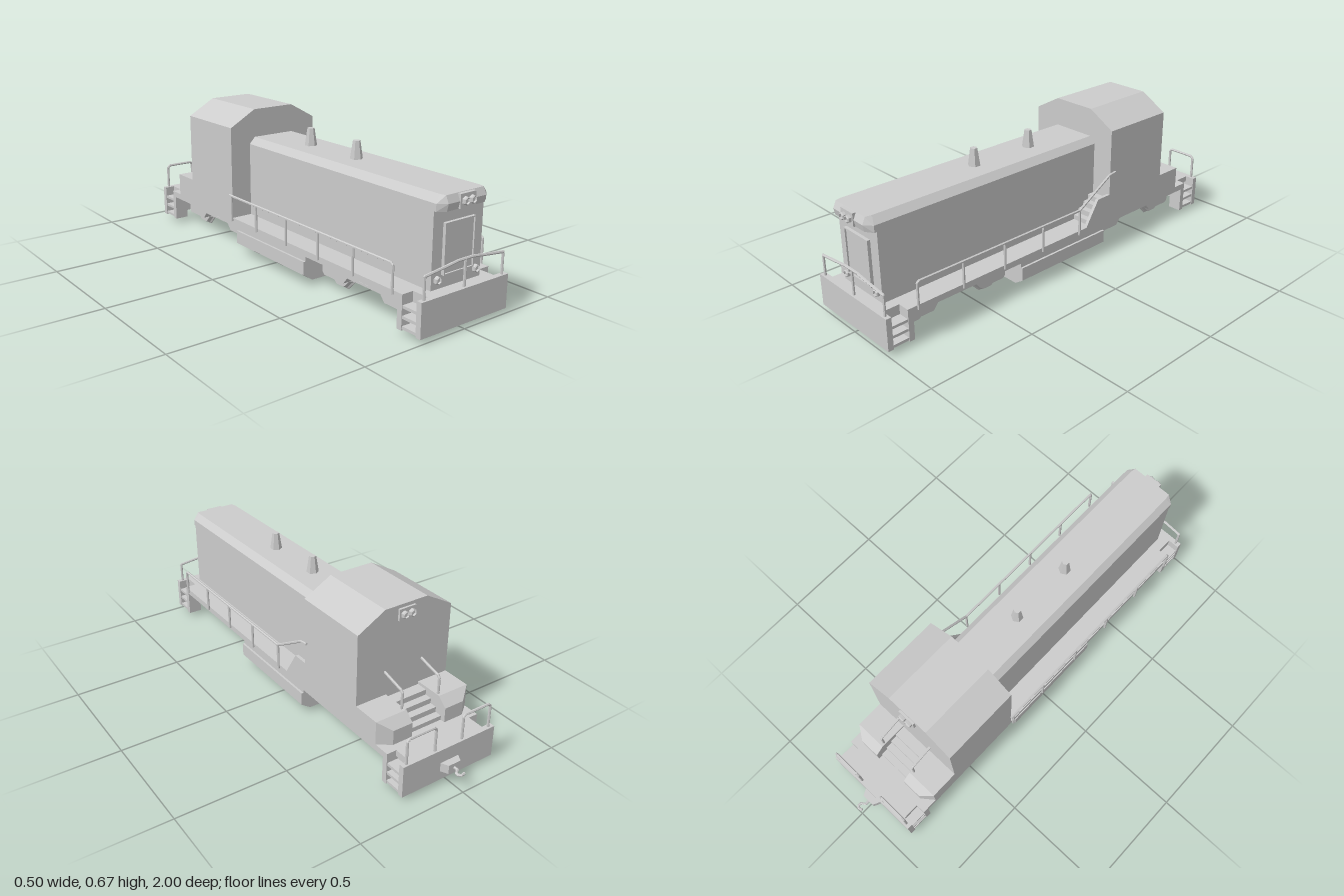
import * as THREE from 'three';
import { mergeGeometries } from 'three/addons/utils/BufferGeometryUtils.js';
import { ConvexGeometry } from 'three/addons/geometries/ConvexGeometry.js';

const grey = new THREE.MeshStandardMaterial({ color: 0xcccccc, flatShading: true });
const V = (x, y, z) => new THREE.Vector3(x, y, z);

export function createModel() {
  const model = new THREE.Group();

  const add = (name, geometry) => {
    const mesh = new THREE.Mesh(geometry, grey);
    mesh.name = name;
    model.add(mesh);
    return mesh;
  };

  // Box given by its limits on each axis
  const boxGeo = (x0, x1, y0, y1, z0, z1) =>
    new THREE.BoxGeometry(x1 - x0, y1 - y0, z1 - z0)
      .translate((x0 + x1) / 2, (y0 + y1) / 2, (z0 + z1) / 2);
  const box = (name, ...limits) => add(name, boxGeo(...limits));

  const shapeOf = pts => new THREE.Shape(pts.map(p => new THREE.Vector2(...p)));
  const extrude = (shape, depth) => new THREE.ExtrudeGeometry(shape, { depth, bevelEnabled: false });
  // Profile in (x, y), running along z
  const alongZ = (name, pts, z0, z1) => add(name, extrude(shapeOf(pts), z1 - z0).translate(0, 0, z0));
  // Profile in (z, y), running along x
  const alongX = (name, pts, x0, x1) =>
    add(name, extrude(shapeOf(pts), x1 - x0).rotateY(-Math.PI / 2).translate(x1, 0, 0));

  // Mirror a half outline of (x, y) points across x = 0
  const mirrored = pts => [...pts, ...pts.slice().reverse().map(([x, y]) => [-x, y])];

  // Bars along polylines, with small knuckles at the bends
  const rail = (name, paths, r = 0.006) => {
    const parts = [];
    for (const path of paths) {
      path.forEach((p, i) => {
        if (i === 0) return;
        const a = path[i - 1], d = p.clone().sub(a);
        const q = new THREE.Quaternion().setFromUnitVectors(V(0, 1, 0), d.clone().normalize());
        parts.push(new THREE.CylinderGeometry(r, r, d.length(), 6)
          .applyQuaternion(q).translate(...a.clone().add(p).multiplyScalar(0.5).toArray()));
        if (i < path.length - 1) parts.push(new THREE.SphereGeometry(r, 6, 4).translate(p.x, p.y, p.z));
      });
    }
    return add(name, mergeGeometries(parts));
  };

  // Six-sided lamp with a raised rim, facing along dir
  const lamp = (name, x, y, z, dir) => {
    const pts = [[0, 0.008], [0.012, 0.008], [0.013, 0.016], [0.017, 0.012], [0.017, 0]]
      .reverse().map(p => new THREE.Vector2(...p));
    add(name, new THREE.LatheGeometry(pts, 6).rotateY(Math.PI / 6)
      .rotateX(dir * Math.PI / 2).rotateZ(Math.PI / 2).translate(x, y, z))
      .material = new THREE.MeshStandardMaterial({ color: 0xcccccc, flatShading: true, side: THREE.DoubleSide });
  };

  // Deck, notched at the corners for the steps
  add('deck', extrude(shapeOf(mirrored([
    [0.18, 0.98], [0.18, 0.9], [0.235, 0.9], [0.235, -0.81], [0.19, -0.81], [0.19, -0.89]
  ])), 0.028).rotateX(Math.PI / 2).translate(0, 0.17, 0));
  box('frontEndPlate', -0.235, 0.235, 0.025, 0.17, 0.975, 1);
  box('rearEndPlate', -0.235, 0.235, 0.025, 0.17, -0.91, -0.885);

  // Corner steps at both ends
  for (const s of [-1, 1]) {
    for (const [z0, z1, p0, p1] of [[0.9, 0.975, 0.875, 0.9], [-0.885, -0.81, -0.81, -0.785]]) {
      const side = (a, b) => s > 0 ? [a, b] : [-b, -a];
      box('stepBackPlate', ...side(0.17, 0.18), 0.025, 0.16, z0, z1);
      box('stepSupport', ...side(0.17, 0.235), 0.025, 0.15, p0, p1);
      for (const y of [0.03, 0.072, 0.114]) box('step', ...side(0.18, 0.232), y, y + 0.012, z0, z1);
    }
  }

  // Fuel tank with sloped lower sides
  alongZ('fuelTank', mirrored([[0.225, 0.145], [0.225, 0.115], [0.235, 0.115], [0.235, 0.055], [0.19, 0.025]]),
    -0.21, 0.305);

  // Trucks: side frames, springs and tapered eight-sided wheels
  const frameHalf = [[0.1, 0.085], [0.125, 0.055], [0.25, 0.055], [0.262, 0.067], [0.262, 0.125],
    [0.12, 0.125], [0.1, 0.105], [0.03, 0.095]];
  const wheelProfile = [[0, -0.014], [0.076, -0.014], [0.076, -0.008], [0.069, -0.004], [0.062, 0.014], [0, 0.014]];
  for (const cz of [0.6, -0.508]) {
    for (const s of [-1, 1]) {
      const outline = mirrored(frameHalf).map(([z, y]) => [z + cz, y]);
      const x0 = s > 0 ? 0.122 : -0.16;
      alongX('truckSideFrame', outline, x0, x0 + 0.038);
      for (const dz of [-0.085, -0.04, 0.04, 0.085]) {
        box('truckSpring', x0 + 0.004, x0 + 0.034, 0.09, 0.145, cz + dz - 0.014, cz + dz + 0.014);
      }
      box('truckPad', x0, x0 + 0.038, 0.12, 0.145, cz + 0.13, cz + 0.25);
      box('truckPad', x0, x0 + 0.038, 0.12, 0.145, cz - 0.25, cz - 0.13);
      for (const dz of [-0.193, 0.193]) {
        add('wheel', new THREE.LatheGeometry(wheelProfile.map(p => new THREE.Vector2(...p)), 8)
          .rotateY(Math.PI / 8).rotateZ(-s * Math.PI / 2).translate(s * 0.106, 0.073, cz + dz));
      }
    }
  }

  // Long hood and its overhanging front cap
  alongZ('hood', mirrored([[0.133, 0.17], [0.133, 0.51], [0.105, 0.54]]), -0.25, 0.943);
  add('hoodFrontCap', new ConvexGeometry([-1, 1].flatMap(s => [
    V(s * 0.133, 0.48, 0.94), V(s * 0.133, 0.51, 0.94), V(s * 0.105, 0.54, 0.94),
    V(s * 0.133, 0.48, 0.953), V(s * 0.133, 0.51, 0.953),
    V(s * 0.1, 0.54, 0.968), V(s * 0.1, 0.51, 0.982), V(s * 0.1, 0.48, 0.975)
  ])));

  // Radiator door: raised rim around a flat panel
  const rim = shapeOf([[-0.081, 0.223], [0.081, 0.223], [0.081, 0.428], [-0.081, 0.428]]);
  rim.holes.push(shapeOf([[-0.076, 0.228], [-0.076, 0.423], [0.076, 0.423], [0.076, 0.228]]));
  add('radiatorRim', extrude(rim, 0.015).translate(0, 0, 0.942));
  box('radiatorPanel', -0.077, 0.077, 0.227, 0.424, 0.94, 0.95);

  // Headlights at both ends and marker lamps beside the radiator
  box('headlightHousing', -0.041, 0.041, 0.481, 0.538, 0.95, 0.985);
  box('rearHeadlightHousing', -0.041, 0.041, 0.603, 0.655, -0.615, -0.6);
  for (const s of [-1, 1]) {
    lamp('headlight', s * 0.018, 0.51, 0.984, 1);
    lamp('rearHeadlight', s * 0.018, 0.629, -0.614, -1);
    lamp('markerLamp', s * 0.104, 0.208, 0.942, 1);
  }

  // Exhaust stacks
  for (const z of [0.36, 0.05]) {
    add('exhaustStack', new THREE.CylinderGeometry(0.016, 0.028, 0.08, 6).translate(0, 0.578, z));
  }

  // Cab
  alongZ('cab', mirrored([[0.235, 0.165], [0.235, 0.597], [0.105, 0.67]]), -0.605, -0.24);

  // Stairs from the left walkway up to the cab
  for (let i = 0; i < 4; i++) {
    box('cabStair', 0.13, 0.222, 0.165, 0.192 + i * 0.025, -0.245, -0.115 - i * 0.03);
  }
  alongX('stairSidePanel', [[-0.245, 0.165], [-0.09, 0.165], [-0.1, 0.185], [-0.165, 0.287], [-0.245, 0.287]],
    0.22, 0.235);

  // Rear lockers with sloped ends, and steps between them
  for (const s of [-1, 1]) {
    add('rearLocker', new ConvexGeometry([[0.165, 0.6], [0.275, 0.6], [0.165, 0.735], [0.275, 0.735]].flatMap(
      ([y, z]) => [V(s * 0.085, y, -z), V(s * 0.235, y, -z)]).concat(
      [0.165, 0.237].flatMap(y => [V(s * 0.085, y, -0.777), V(s * 0.18, y, -0.777)]))));
  }
  for (let i = 0; i < 4; i++) {
    box('rearStair', -0.087, 0.087, 0.165, 0.19 + i * 0.024, -0.755 + i * 0.033, -0.6);
  }

  // Side handrails: the left one climbs to the cab, the right one stays level
  for (const s of [-1, 1]) {
    const x = s * 0.244, top = 0.28;
    const end = s > 0
      ? [V(x, top, -0.035), V(x, 0.392, -0.225), V(x, 0.397, -0.265)]
      : [V(x, top, -0.25)];
    const posts = [0.63, 0.41, 0.19, -0.035].map(z => [V(x, 0.158, z), V(x, top, z)]);
    if (s < 0) posts.push([V(x, 0.158, -0.235), V(x, top, -0.235)]);
    rail('sideHandrail', [[V(x, 0.158, 0.855), V(x, 0.273, 0.855), V(x, top, 0.845), ...end], ...posts]);
  }

  // Arched front railing
  rail('frontRailing', [
    [[-0.212, 0.165], [-0.212, 0.262], [-0.1, 0.275], [-0.04, 0.283], [0.04, 0.283], [0.1, 0.275],
      [0.212, 0.262], [0.212, 0.165]].map(([x, y]) => V(x, y, 0.987)),
    [V(0, 0.165, 0.987), V(0, 0.283, 0.987)]
  ]);

  // Rear railings and the stair grab rails
  for (const s of [-1, 1]) {
    rail('rearRailing', [[[0.07, 0.165], [0.07, 0.272], [0.08, 0.283], [0.2, 0.283], [0.212, 0.272],
      [0.212, 0.165]].map(([x, y]) => V(s * x, y, -0.897))]);
    rail('stairGrabRail', [[V(s * 0.095, 0.387, -0.6), V(s * 0.095, 0.358, -0.71),
      V(s * 0.095, 0.348, -0.718), V(s * 0.095, 0.27, -0.718)]]);
  }

  // Rear coupler block and hook
  add('couplerBlock', new ConvexGeometry([0.068, 0.108].flatMap(y => [-1, 1].flatMap(s =>
    [V(s * 0.047, y, -0.908), V(s * 0.03, y, -0.942)]))));
  rail('couplerHook', [[[0, -0.935], [0, -0.96], [0.018, -0.972], [0.02, -0.985], [0.01, -0.994],
    [-0.008, -0.99]].map(([x, z]) => V(x, 0.087, z))], 0.006);

  return model;
}
